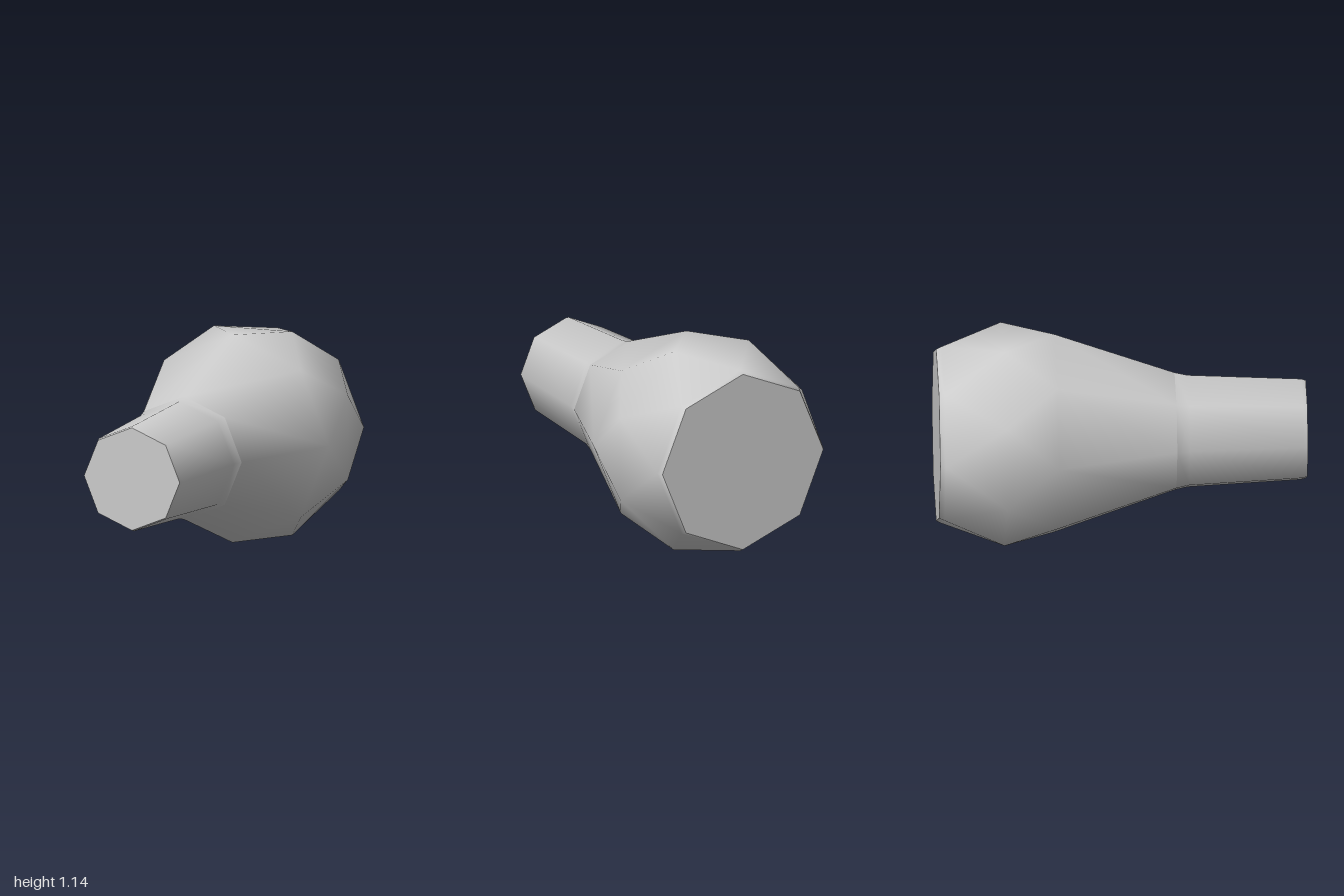
import * as THREE from 'three';
import { toCreasedNormals } from 'three/addons/utils/BufferGeometryUtils.js';

const SIDES = 8;
const CENTER_Y = 0.57;

// Octagonal sections from the neck (front) to the base (back).
// turn is in steps of one side; half a step makes a faceted band of triangles.
const neckRings = [
  { z: 1, r: 0.282, turn: 0 },
  { z: 0.975, r: 0.29, turn: 0 },
  { z: 0.36, r: 0.322, turn: 0 },
  { z: 0.29, r: 0.338, turn: 0 },
];
const bulbRings = [
  neckRings[3],
  { z: -0.36, r: 0.57, turn: 0 },
  { z: -0.64, r: 0.605, turn: 0.5 },
  { z: -0.97, r: 0.51, turn: 1 },
  { z: -1, r: 0.495, turn: 1 },
];

function ringPoint({ z, r, turn }, k) {
  const a = ((k + turn) / SIDES) * Math.PI * 2;
  return [r * Math.cos(a), r * Math.sin(a), z];
}

function toGeometry(positions, crease) {
  const geometry = new THREE.BufferGeometry();
  geometry.setAttribute('position', new THREE.Float32BufferAttribute(positions, 3));
  return toCreasedNormals(geometry, crease);
}

// Skin joining consecutive rings
function loft(rings) {
  const p = [];
  for (let i = 0; i < rings.length - 1; i++) {
    const a = rings[i], b = rings[i + 1];
    for (let k = 0; k < SIDES; k++) {
      p.push(...ringPoint(a, k), ...ringPoint(b, k), ...ringPoint(a, k + 1));
      p.push(...ringPoint(a, k + 1), ...ringPoint(b, k), ...ringPoint(b, k + 1));
    }
  }
  return toGeometry(p, 0.82);
}

// Flat end closing a ring; facing is 1 for the front and -1 for the back
function cap(ring, facing) {
  const p = [];
  for (let k = 0; k < SIDES; k++) {
    const from = ringPoint(ring, k), to = ringPoint(ring, k + 1);
    p.push(0, 0, ring.z, ...(facing > 0 ? from : to), ...(facing > 0 ? to : from));
  }
  return toGeometry(p, 0.5);
}

export function createModel() {
  const group = new THREE.Group();
  group.name = 'bottle';
  const material = new THREE.MeshStandardMaterial({ color: 0xcccccc });
  const add = (name, geometry) => {
    const mesh = new THREE.Mesh(geometry, material);
    mesh.name = name;
    mesh.position.y = CENTER_Y;
    group.add(mesh);
  };

  // Narrow neck, flared body and the two flat ends
  add('neck', loft(neckRings));
  add('body', loft(bulbRings));
  add('neckEnd', cap(neckRings[0], 1));
  add('baseEnd', cap(bulbRings[bulbRings.length - 1], -1));

  return group;
}
